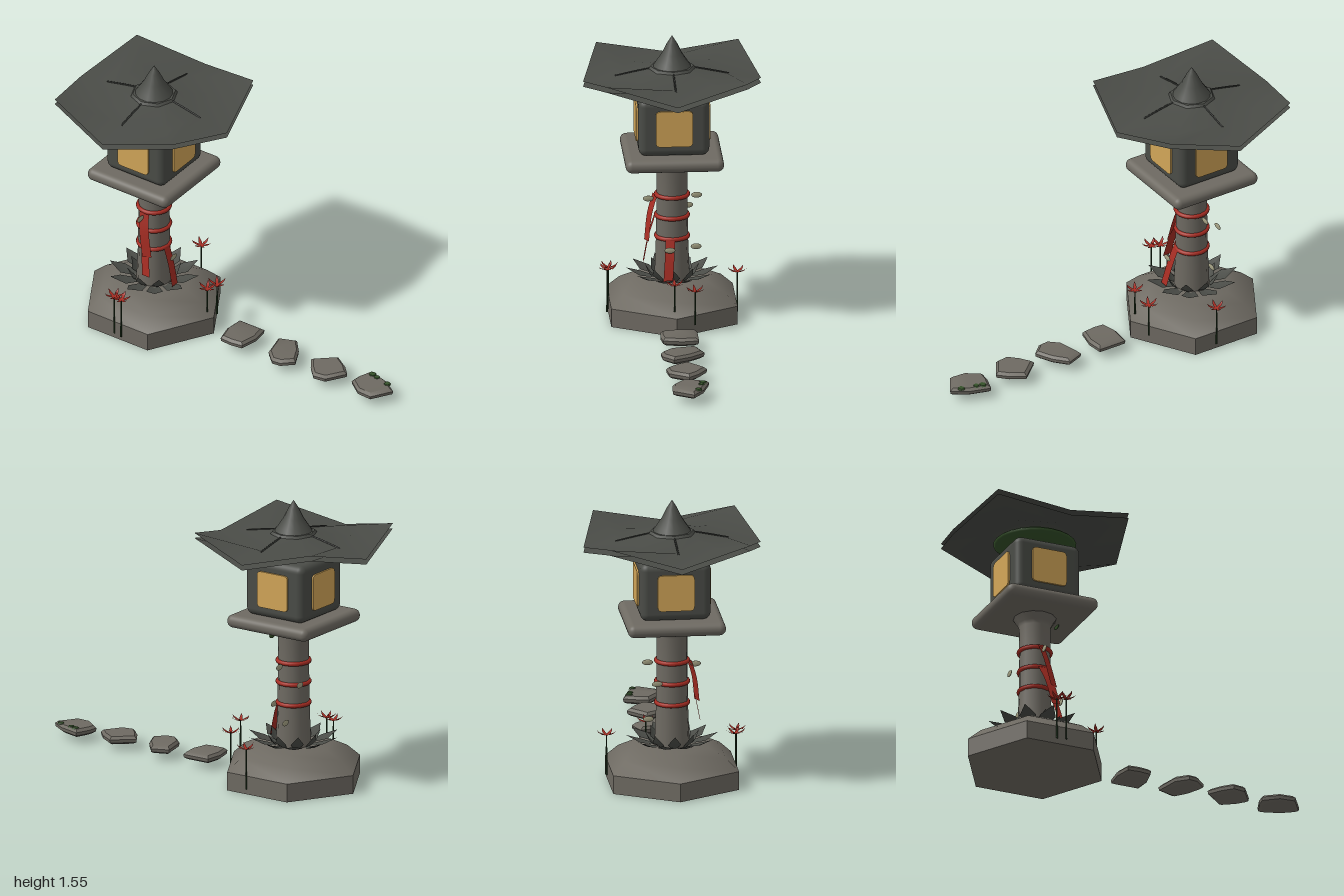
import * as THREE from 'three';
import { toCreasedNormals, mergeVertices } from 'three/addons/utils/BufferGeometryUtils.js';
import { RoundedBoxGeometry } from 'three/addons/geometries/RoundedBoxGeometry.js';
import { ConvexGeometry } from 'three/addons/geometries/ConvexGeometry.js';

const mat = (name, color, side = THREE.FrontSide) => {
  const m = new THREE.MeshStandardMaterial({ color, side });
  m.name = name;
  return m;
};
const V = (x, y, z) => new THREE.Vector3(x, y, z);

export function createModel() {
  const stone = mat('stone', 0x6e6a62);
  const slate = mat('slate', 0x4a4c47, THREE.DoubleSide);
  const ridgeDark = mat('ridge dark', 0x333532);
  const glow = mat('paper window', 0xd2a658);
  const red = mat('red cloth', 0xa52c22, THREE.DoubleSide);
  const moss = mat('moss', 0x35522a);
  const stemGreen = mat('stem green', 0x233a20);
  const pale = mat('pale leaf', 0xa3a083);

  const model = new THREE.Group();
  model.name = 'stoneLantern';
  const lantern = new THREE.Group();
  lantern.name = 'lantern';
  lantern.position.z = -0.53;
  model.add(lantern);

  const add = (parent, name, geo, material, x = 0, y = 0, z = 0) => {
    const mesh = new THREE.Mesh(geo, material);
    mesh.name = name;
    mesh.position.set(x, y, z);
    parent.add(mesh);
    return mesh;
  };
  const lathe = (pts, n) => new THREE.LatheGeometry(pts.map(p => new THREE.Vector2(...p)), n);

  // Sheet through equally long rows of points
  const sheet = rows => {
    const n = rows[0].length, index = [];
    for (let i = 0; i < rows.length - 1; i++)
      for (let j = 0; j < n - 1; j++) {
        const a = i * n + j, b = a + n;
        index.push(a, b, a + 1, b, b + 1, a + 1);
      }
    const g = new THREE.BufferGeometry().setFromPoints(rows.flat());
    g.setIndex(index);
    g.computeVertexNormals();
    return g;
  };

  // Hexagonal base, pillar and platform
  const base = lathe([[0, 0], [0.385, 0], [0.385, 0.1], [0.31, 0.165], [0.215, 0.21], [0, 0.21]], 6);
  add(lantern, 'base', toCreasedNormals(base, 0.75), stone);
  const pillar = lathe([[0.094, 0.2], [0.086, 0.4], [0.082, 0.65], [0.083, 0.81], [0.092, 0.83], [0.118, 0.87]], 12);
  add(lantern, 'pillar', pillar, stone);
  add(lantern, 'platform', new RoundedBoxGeometry(0.52, 0.07, 0.52, 4, 0.034), stone, 0, 0.9, 0);

  // Lantern house with a window on each side
  add(lantern, 'house', new RoundedBoxGeometry(0.374, 0.315, 0.374, 4, 0.04), slate, 0, 1.0925, 0);
  const w = 0.098, c = 0.025, pane = new THREE.Shape();
  pane.moveTo(-w + c, -w).lineTo(w - c, -w).quadraticCurveTo(w, -w, w, -w + c)
    .lineTo(w, w - c).quadraticCurveTo(w, w, w - c, w)
    .lineTo(-w + c, w).quadraticCurveTo(-w, w, -w, w - c)
    .lineTo(-w, -w + c).quadraticCurveTo(-w, -w, -w + c, -w);
  const paneGeo = new THREE.ExtrudeGeometry(pane, { depth: 0.0095, bevelEnabled: false, curveSegments: 5 });
  paneGeo.translate(0, 0, 0.1872);
  for (let i = 0; i < 4; i++)
    add(lantern, 'window', paneGeo, glow, 0, 1.092, 0).rotation.y = i * Math.PI / 2;

  // Neck and moss cushion under the roof
  add(lantern, 'neck', new THREE.CylinderGeometry(0.05, 0.05, 0.05, 12), slate, 0, 1.26, 0);
  add(lantern, 'mossCushion', new THREE.SphereGeometry(1, 24, 10), moss, 0, 1.3, 0).scale.set(0.22, 0.03, 0.22);

  // Two roof layers with upturned diagonal corners
  const ts = [0, 0.25, 0.6, 1];
  const sideY = [1.39, 1.37, 1.336, 1.303], cornerY = [1.39, 1.367, 1.335, 1.395];
  const roofRows = ts.map((t, i) => Array.from({ length: 9 }, (_, k) => {
    const a = k * Math.PI / 4, corner = k % 2;
    const r = t * (corner ? 0.531 : 0.47);
    return V(Math.sin(a) * r, (corner ? cornerY : sideY)[i], Math.cos(a) * r);
  }));
  const roofGeo = toCreasedNormals(sheet(roofRows), 0.6);
  add(lantern, 'roofUpper', roofGeo, slate);
  add(lantern, 'roofLower', roofGeo, slate, 0, -0.028, 0);

  // Finial and four ridges
  add(lantern, 'finialCollar', new THREE.CylinderGeometry(0.115, 0.13, 0.02, 8), slate, 0, 1.372, 0);
  add(lantern, 'finial', lathe([[0.105, 1.375], [0.085, 1.405], [0.055, 1.45], [0.028, 1.505], [0, 1.55]], 14), slate);
  const ridgeCurve = new THREE.CatmullRomCurve3([V(0, 1.372, 0.11), V(0, 1.355, 0.2), V(0, 1.333, 0.3)]);
  const ridgeGeo = new THREE.TubeGeometry(ridgeCurve, 8, 0.005, 5);
  for (let i = 0; i < 4; i++) add(lantern, 'ridge', ridgeGeo, ridgeDark).rotation.y = i * Math.PI / 2;

  // Two rings of stone petals round the foot of the pillar
  const petal = (r0, y0, r1, y1, half) => sheet([
    [V(-half * 0.5, y0, r0), V(0, y0 - 0.006, r0), V(half * 0.5, y0, r0)],
    [V(-half, y0 + (y1 - y0) * 0.35, (r0 + r1) / 2), V(0, y0 + (y1 - y0) * 0.2, (r0 + r1) / 2),
      V(half, y0 + (y1 - y0) * 0.35, (r0 + r1) / 2)],
    [V(0, y1, r1), V(0, y1, r1), V(0, y1, r1)],
  ]);
  const ring = (name, n, geo, offset) => {
    for (let i = 0; i < n; i++)
      add(lantern, name, geo, slate).rotation.y = (i + offset) * 2 * Math.PI / n;
  };
  ring('outerPetal', 10, petal(0.1, 0.215, 0.245, 0.265, 0.045), 0.5);
  ring('innerPetal', 8, petal(0.09, 0.21, 0.145, 0.285, 0.035), 0);

  // Red cords and hanging ribbons
  for (const y of [0.67, 0.555, 0.44])
    add(lantern, 'cord', new THREE.TorusGeometry(0.084, 0.012, 8, 28), red, 0, y, 0).rotation.x = Math.PI / 2;
  const ribbon = (pts, half) => {
    const curve = new THREE.CatmullRomCurve3(pts);
    const rows = curve.getPoints(8).map(p => [p.clone().sub(half), p.clone().add(half)]);
    add(lantern, 'ribbon', sheet(rows), red);
  };
  ribbon([V(-0.09, 0.67, 0.0), V(-0.12, 0.57, 0.02), V(-0.138, 0.43, 0.05)], V(0.011, 0, 0.022));
  ribbon([V(-0.09, 0.56, 0.0), V(-0.125, 0.46, 0.03), V(-0.155, 0.32, 0.055)], V(0, 0, 0.024));
  ribbon([V(-0.015, 0.445, 0.092), V(-0.02, 0.36, 0.122), V(-0.03, 0.235, 0.155)], V(0.025, 0, 0));

  // Small drifting leaves
  const leafGeo = new THREE.SphereGeometry(1, 14, 8);
  const leaves = [
    [-0.125, 0.645, 0, pale], [0.13, 0.66, 0, pale], [0.09, 0.57, -0.105, pale],
    [-0.02, 0.4, 0.14, pale], [0.13, 0.36, -0.04, pale],
    [0.13, 0.83, 0.045, moss], [0.03, 0.865, 0.14, moss],
  ];
  for (const [x, y, z, m] of leaves) add(lantern, 'leaf', leafGeo, m, x, y, z).scale.set(0.029, 0.016, 0.005);

  // Red flowers on thin stems: x, head height, z, foot height
  const bloom = sheet([
    [V(-0.004, 0, 0), V(0.004, 0, 0)],
    [V(-0.009, 0.004, 0.025), V(0.009, 0.004, 0.025)],
    [V(-0.006, 0.012, 0.042), V(0.006, 0.012, 0.042)],
    [V(0, 0.025, 0.052), V(0, 0.025, 0.052)],
  ]);
  const flowers = [
    [-0.345, 0.265, 0.03, 0.03], [-0.335, 0.26, -0.02, 0.03], [-0.01, 0.275, 0.35, 0.13],
    [0.1, 0.235, 0.335, 0.05], [0.34, 0.25, 0.065, 0.03],
  ];
  for (const [x, y, z, foot] of flowers) {
    const flower = new THREE.Group();
    flower.name = 'flower';
    flower.position.set(x, y, z);
    lantern.add(flower);
    add(flower, 'stem', new THREE.CylinderGeometry(0.004, 0.005, y - foot, 6), stemGreen, 0, (foot - y) / 2, 0);
    for (let i = 0; i < 6; i++) add(flower, 'flowerPetal', bloom, red).rotation.y = i * Math.PI / 3 + x;
  }

  // Stepping stones: outline in x and z, swollen at mid height
  const outlines = [
    [[-0.095, -0.035], [0, -0.058], [0.1, -0.048], [0.1, 0.112], [0.01, 0.122], [-0.09, 0.1], [-0.1, 0.03]],
    [[-0.116, 0.31], [-0.06, 0.25], [0.08, 0.217], [0.116, 0.31], [0.04, 0.375], [-0.053, 0.42], [-0.11, 0.36]],
    [[-0.106, 0.57], [-0.05, 0.515], [0.016, 0.472], [0.111, 0.58], [0.06, 0.66], [0.01, 0.708], [-0.095, 0.64]],
    [[-0.09, 0.845], [-0.03, 0.765], [0.02, 0.77], [0.106, 0.8], [0.07, 0.92], [0.016, 1], [-0.095, 0.93]],
  ];
  const levels = [[0.034, 0.78], [0.046, 0.97], [0.064, 1], [0.078, 0.84]];
  for (const outline of outlines) {
    const cx = outline.reduce((s, p) => s + p[0], 0) / outline.length;
    const cz = outline.reduce((s, p) => s + p[1], 0) / outline.length;
    const pts = levels.flatMap(([y, s]) => outline.map(([x, z]) => V(cx + (x - cx) * s, y, cz + (z - cz) * s)));
    const geo = mergeVertices(new ConvexGeometry(pts), 1e-4);
    add(model, 'steppingStone', toCreasedNormals(geo, 0.7), stone);
  }

  // Moss patches on the last stone
  for (const [x, z, r] of [[0.07, 0.83, 0.022], [0.06, 0.865, 0.018], [0.04, 0.945, 0.02]])
    add(model, 'mossPatch', new THREE.CylinderGeometry(r * 0.8, r, 0.008, 7), moss, x, 0.078, z);

  return model;
}
